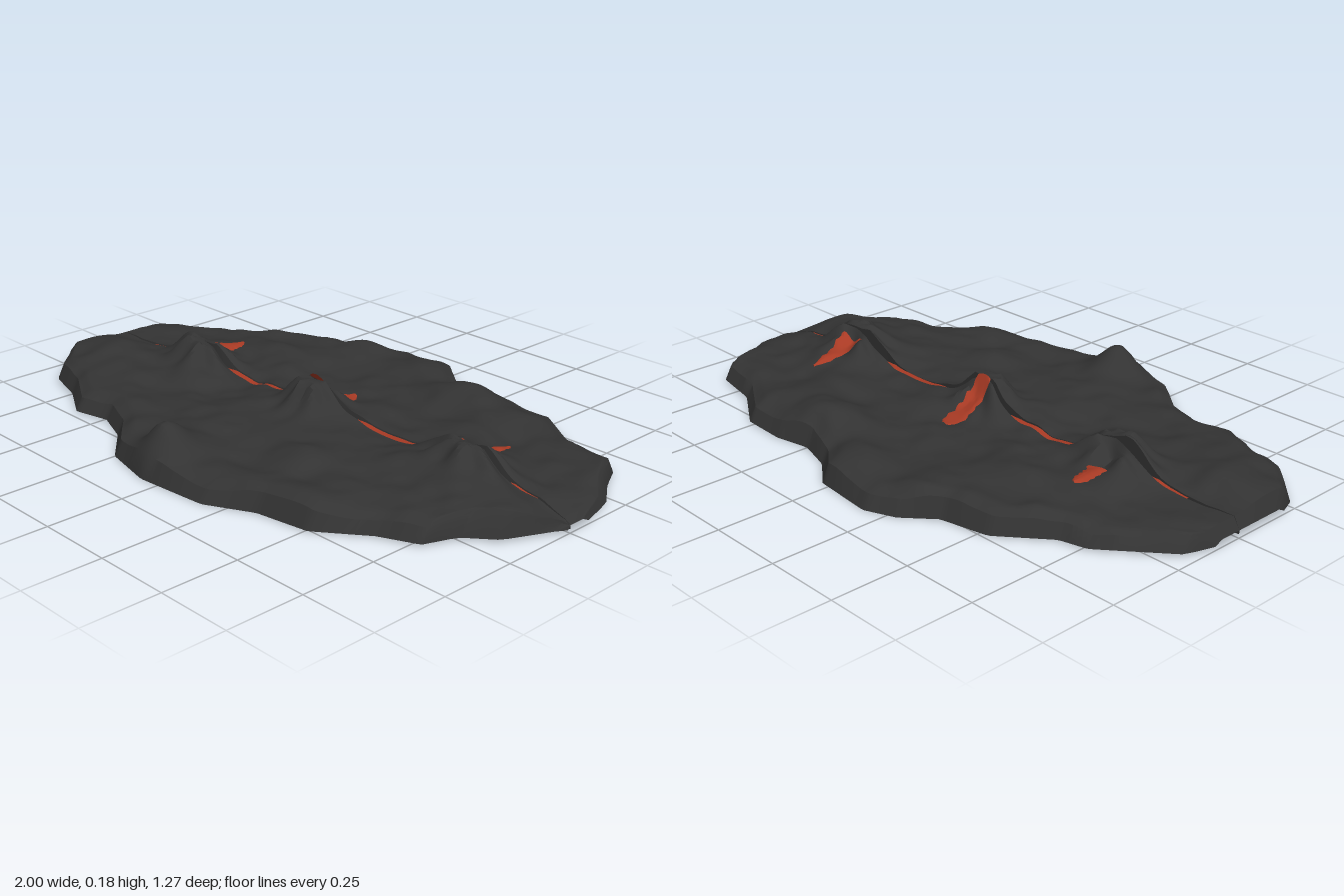
import * as THREE from 'three';
import { toCreasedNormals } from 'three/addons/utils/BufferGeometryUtils.js';

const rock = new THREE.MeshStandardMaterial({ color: 0x333333 });
rock.name = 'charcoal rock';
const lava = new THREE.MeshStandardMaterial({ color: 0xa83a24, side: THREE.DoubleSide });
lava.name = 'dull red lava';

// Shoreline as [x, distance from the fissure]
const FRONT = [[-1, 0.2], [-0.985, 0.25], [-0.88, 0.36], [-0.74, 0.4], [-0.61, 0.475], [-0.49, 0.445], [-0.37, 0.49],
  [-0.25, 0.59], [-0.07, 0.63], [0.18, 0.61], [0.33, 0.535], [0.51, 0.51], [0.66, 0.4], [0.78, 0.35], [0.82, 0.25],
  [0.91, 0.18], [0.98, 0.04], [1, 0.01]];
const BACK = [[-1, 0.1], [-0.97, 0.19], [-0.77, 0.35], [-0.68, 0.37], [-0.53, 0.49], [-0.37, 0.52], [-0.28, 0.6],
  [-0.18, 0.64], [0.03, 0.62], [0.13, 0.545], [0.25, 0.51], [0.37, 0.535], [0.52, 0.53], [0.68, 0.43], [0.85, 0.4],
  [0.9, 0.3], [0.97, 0.2], [1, 0.08]];

// Low hills: x, z, height, radius
const HILLS = [[-0.08, 0.52, 0.085, 0.075], [0.25, -0.4, 0.03, 0.1], [-0.82, 0.15, 0.02, 0.1],
  [0.25, 0.32, 0.025, 0.08], [-0.35, -0.25, 0.025, 0.1], [0.75, 0.12, 0.02, 0.1]];

// Vents along the fissure: centre, half width, lava outlet x, outlet z range, half widths near and far
const VENTS = [
  { x: -0.54, sx: 0.115, out: -0.57, z: [-0.1, -0.2], w: [0.035, 0.018] },
  { x: 0, sx: 0.085, out: 0, z: [-0.005, -0.175], w: [0.028, 0.04] },
  { x: 0.63, sx: 0.125, out: 0.62, z: [-0.03, -0.2], w: [0.045, 0.01] },
];

function lookup(table, x) {
  let i = 1;
  while (i < table.length - 1 && table[i][0] < x) i++;
  const [a, b] = [table[i - 1], table[i]];
  return a[1] + (b[1] - a[1]) * (x - a[0]) / (b[0] - a[0]);
}

function hash(i, j) {
  const s = Math.sin(i * 127.1 + j * 311.7) * 43758.5453;
  return (s - Math.floor(s)) * 2 - 1;
}

function noise(x, z) {
  const i = Math.floor(x), j = Math.floor(z);
  const u = THREE.MathUtils.smoothstep(x - i, 0, 1), v = THREE.MathUtils.smoothstep(z - j, 0, 1);
  const { lerp } = THREE.MathUtils;
  return lerp(lerp(hash(i, j), hash(i + 1, j), u), lerp(hash(i, j + 1), hash(i + 1, j + 1), u), v);
}

// Ground height with hills, ribbed vents and rear lava notches
function height(x, z) {
  let y = 0.068 + 0.019 * noise(x * 6.5 + 3, z * 8) + 0.006 * noise(x * 17, z * 19 + 5);
  for (const [hx, hz, h, r] of HILLS) y += h * Math.exp(-((x - hx) ** 2 + (z - hz) ** 2) / (r * r));
  for (const v of VENTS) {
    const dx = (x - v.x) / v.sx, dz = z / 0.085;
    const d = dx * dx + dz * dz;
    const ribs = 1 + 0.3 * Math.cos(7 * Math.atan2(dz, dx) + v.x * 5) * Math.min(1, d);
    let cone = 0.092 * Math.min(1, 1.25 * Math.exp(-d)) * ribs;
    const notch = Math.exp(-(((x - v.out) / 0.045) ** 2)) * THREE.MathUtils.smoothstep(-z, -0.005, 0.04);
    cone *= 1 - 0.75 * notch;
    y += cone;
  }
  return Math.min(y, 0.165 + 0.004 * noise(x * 40, z * 40));
}

const floorY = x => 0.012 * x * x;

// Fissure width, pinched at the vents and closed at both ends
function gap(x) {
  let g = 0.024 * Math.max(0, 1 - x ** 4);
  for (const v of VENTS) g *= 1 - 0.8 * Math.exp(-(((x - v.x) / 0.06) ** 2));
  return g;
}

// Joins equal closed or open cross-sections into a surface
function loft(sections, flip, closed) {
  const n = sections[0].length, index = [];
  for (let i = 0; i < sections.length - 1; i++) {
    for (let j = 0; j < (closed ? n : n - 1); j++) {
      const k = (j + 1) % n;
      const a = i * n + j, b = a + n, c = i * n + k, d = c + n;
      if (flip) index.push(a, b, c, b, d, c);
      else index.push(a, c, b, b, c, d);
    }
  }
  const geo = new THREE.BufferGeometry();
  geo.setAttribute('position', new THREE.Float32BufferAttribute(sections.flat(2), 3));
  geo.setIndex(index);
  return toCreasedNormals(geo, 0.6);
}

// One half of the island, as cross-sections from the fissure to the shore
function islandHalf(side) {
  const sections = [], cols = 130, rows = 36;
  for (let i = 0; i <= cols; i++) {
    const end = i === 0 || i === cols;
    const x = end ? Math.sign(i - 1) : -0.98 + 1.96 * (i - 1) / (cols - 2);
    const edge = lookup(side > 0 ? FRONT : BACK, x);
    const bottom = floorY(x);
    const seam = side > 0 ? 0 : Math.min(gap(x), edge * 0.5);
    const low = Math.min(0.005 * Math.max(0, 1 - (x / 0.85) ** 2), edge * 0.5);
    const ring = [[x, bottom, side * low]];
    for (let j = 0; j <= rows; j++) {
      const t = j / rows;
      const z = side * (seam + (Math.max(edge - 0.025, seam) - seam) * t ** 1.25);
      const rim = 1 - 0.25 * THREE.MathUtils.smoothstep(t, 0.92, 1);
      const taper = 1 - 0.35 * THREE.MathUtils.smoothstep(x, 0.88, 1);
      ring.push([x, end ? bottom + 0.012 : height(x, z) * rim * taper, z]);
    }
    ring.push([x, bottom, side * edge]);
    sections.push(ring);
  }
  return loft(sections, side < 0, true);
}

// Molten seam filling the fissure, visible above and below
function fissureLava() {
  const sections = [];
  for (let i = 0; i <= 80; i++) {
    const x = -0.82 + 1.7 * i / 80;
    const g = gap(x) + 0.004;
    const w = 0.006 * Math.max(0, 1 - (x / 0.85) ** 2);
    const top = Math.min(height(x, -gap(x)), 0.075) - 0.004;
    sections.push([[x, floorY(x) + 0.002, w], [x, top, 0.002], [x, top, -g], [x, floorY(x) + 0.002, -w]]);
  }
  return loft(sections, true, true);
}

// Lava tongue draped over the ground behind a vent
function lavaTongue(v) {
  const sections = [];
  for (let i = 0; i <= 16; i++) {
    const t = i / 16;
    const z = THREE.MathUtils.lerp(v.z[0], v.z[1], t);
    const round = Math.min(1, 0.3 + 3 * (1 - t));
    const w = THREE.MathUtils.lerp(v.w[0], v.w[1], t) * round * (1 + 0.12 * Math.sin(i * 1.9));
    const row = [];
    for (let j = 0; j <= 8; j++) {
      const u = j / 4 - 1, x = v.out + u * w;
      row.push([x, height(x, z) + 0.003 + 0.011 * (1 - u * u) * (1 - 0.5 * t), z]);
    }
    sections.push(row);
  }
  return loft(sections, true, false);
}

export function createModel() {
  const group = new THREE.Group();
  group.name = 'volcanicFissureIsland';
  const add = (name, geo, mat) => {
    const mesh = new THREE.Mesh(geo, mat);
    mesh.name = name;
    group.add(mesh);
  };
  add('frontRockHalf', islandHalf(1), rock);
  add('backRockHalf', islandHalf(-1), rock);
  add('fissureLava', fissureLava(), lava);
  VENTS.forEach((v, i) => add(['rightLavaTongue', 'middleLavaTongue', 'leftLavaTongue'][i], lavaTongue(v), lava));
  return group;
}
